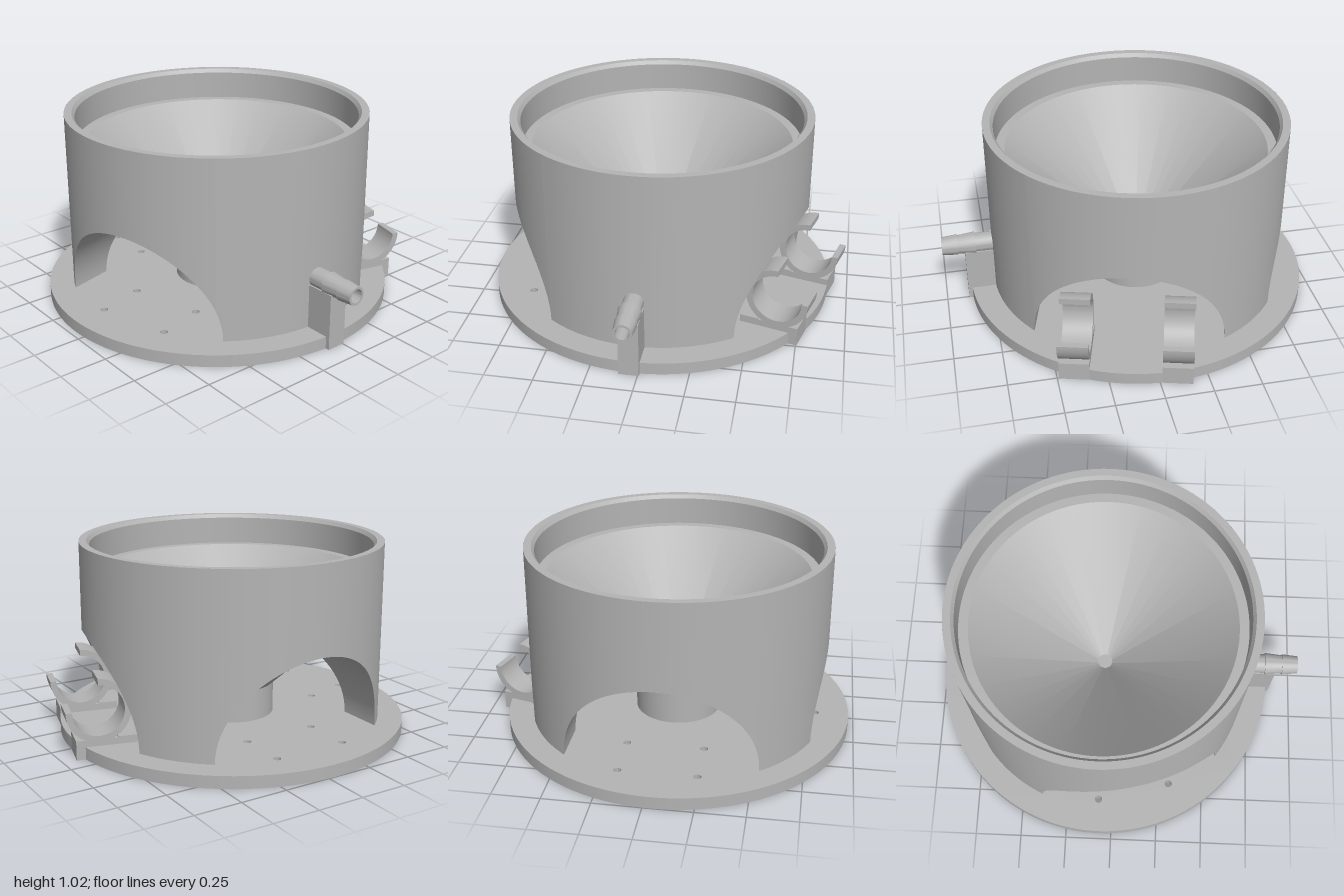
import * as THREE from 'three';
import { toCreasedNormals } from 'three/addons/utils/BufferGeometryUtils.js';

const BASE = 0.065;   // top of the base plate
const TOP = 1.02;     // rim height
const WALL = 0.8;     // outer wall radius
const ARCH = 0.495;   // radius of the tunnels cut through the body
const POST = 0.23;    // central post radius
const rad = THREE.MathUtils.degToRad;

// tunnels: heading from +z towards +x, half gaps to the previous and next tunnel
const tunnels = [
  { heading: rad(15), before: rad(52.5), after: rad(75), holes: true },
  { heading: rad(165), before: rad(75), after: rad(52.5), holes: false },
  { heading: rad(270), before: rad(52.5), after: rad(52.5), holes: true },
];

// point at distance d along a heading and s sideways
const along = (a, d, s, y) => [
  Math.sin(a) * d + Math.cos(a) * s, y, Math.cos(a) * d - Math.sin(a) * s,
];

// surface between two rows of points
function strip(lower, upper) {
  const n = lower.length, index = [];
  for (let i = 0; i < n - 1; i++) index.push(i, i + 1, n + i + 1, i, n + i + 1, n + i);
  const g = new THREE.BufferGeometry();
  g.setAttribute('position', new THREE.Float32BufferAttribute([...lower, ...upper].flat(), 3));
  g.setIndex(index);
  g.computeVertexNormals();
  return g;
}

const lathe = (pts, seg = 128) => toCreasedNormals(
  new THREE.LatheGeometry(pts.map(([x, y]) => new THREE.Vector2(x, y)), seg), 0.4);

const extrude = (shape, depth, curveSegments) => toCreasedNormals(
  new THREE.ExtrudeGeometry(shape, { depth, bevelEnabled: false, curveSegments }), 0.4);

export function createModel() {
  const grey = new THREE.MeshStandardMaterial({ color: 0xb4b4b4, side: THREE.DoubleSide });
  grey.name = 'grey plastic';

  const model = new THREE.Group();
  model.name = 'funnelStand';
  const body = new THREE.Group();
  body.name = 'body';
  body.position.set(-0.07, 0, 0.04);
  model.add(body);

  const add = (name, geometry, parent = body) => {
    const mesh = new THREE.Mesh(geometry, grey);
    mesh.name = name;
    parent.add(mesh);
    return mesh;
  };

  // base plate with four screw holes in front of two of the tunnels
  const disc = new THREE.Shape().absarc(0, 0, 0.93, 0, Math.PI * 2, false);
  for (const t of tunnels.filter((t) => t.holes))
    for (const d of [0.465, 0.725])
      for (const s of [-0.2, 0.2]) {
        const [x, , z] = along(t.heading, d, s, 0);
        disc.holes.push(new THREE.Path().absarc(x, -z, 0.02, 0, Math.PI * 2, true));
      }
  add('basePlate', extrude(disc, BASE, 64).rotateX(-Math.PI / 2));

  // outer wall whose lower edge follows the arches
  const lower = [];
  const STEPS = 48;
  for (const t of tunnels) {
    for (let i = 0; i <= STEPS; i++) {
      const phi = Math.PI * (1 - i / STEPS);
      const a = t.heading + Math.asin(ARCH * Math.cos(phi) / WALL);
      lower.push(along(a, WALL, 0, BASE + ARCH * Math.sin(phi)));
    }
    const half = Math.asin(ARCH / WALL);
    const start = t.heading + half, end = t.heading + 2 * t.after - half;
    for (let i = 1; i <= 16; i++)
      lower.push(along(start + (end - start) * i / 16, WALL, 0, BASE));
  }
  add('outerWall', strip(lower, lower.map(([x, , z]) => [x, TOP, z])));

  // tunnel ceilings, ending at the neighbouring tunnel or at the funnel underside
  tunnels.forEach((t) => {
    const inner = [], outer = [];
    for (let i = 0; i <= STEPS * 2; i++) {
      const phi = Math.PI * (1 - i / (STEPS * 2));
      const s = ARCH * Math.cos(phi), y = BASE + ARCH * Math.sin(phi);
      const cone = POST + Math.max(0, y - 0.235) / 0.91;
      const d = Math.max(
        Math.abs(s) / Math.tan(s < 0 ? t.before : t.after),
        Math.sqrt(Math.max(0, cone * cone - s * s)));
      inner.push(along(t.heading, d, s, y));
      outer.push(along(t.heading, Math.sqrt(WALL * WALL - s * s), s, y));
    }
    add('archTunnel', strip(inner, outer));
  });

  // rim, ledge and funnel bowl
  add('funnelBowl', lathe([[WALL, TOP], [0.76, TOP], [0.745, 1.0], [0.745, 0.85],
    [0.695, 0.85], [0.04, 0.25], [0, 0.25]]));
  // central post widening into the funnel underside
  add('centralPost', lathe([[POST, BASE], [POST, 0.235], [0.6, 0.572]]));

  // hose nozzle with two barbs and an open bore
  const nozzle = add('hoseNozzle', lathe([[0, 0.5], [0.036, 0.5], [0.036, 1.07], [0.048, 1.07],
    [0.056, 0.985], [0.05, 0.985], [0.06, 0.89], [0.052, 0.89], [0.052, 0.77]].reverse(), 40));
  nozzle.rotation.z = -Math.PI / 2;
  nozzle.position.set(0, 0.33, 0.005);
  const support = add('nozzleSupport', new THREE.BoxGeometry(0.2, 0.3, 0.104));
  support.position.set(0.85, 0.15, 0.005);

  // pair of open ring clips at the back tunnel
  const clips = new THREE.Group();
  clips.name = 'clips';
  clips.rotation.y = tunnels[1].heading - Math.PI / 2;
  body.add(clips);
  const ring = new THREE.Shape();
  ring.absarc(0, 0, 0.165, Math.PI / 2, Math.PI * 2, false);
  ring.absarc(0, 0, 0.132, Math.PI * 2, Math.PI / 2, true);
  const ringGeometry = extrude(ring, 0.155, 32).translate(0, 0, -0.0775);
  for (const side of [-1, 1]) {
    const clip = new THREE.Group();
    clip.name = side > 0 ? 'leftClip' : 'rightClip';
    clip.position.z = side * 0.26;
    clips.add(clip);
    add('clipRing', ringGeometry, clip).position.set(0.795, 0.25, 0);
    add('clipFoot', new THREE.BoxGeometry(0.24, 0.1, 0.155), clip).position.set(0.793, 0.05, 0);
    add('clipHeel', new THREE.BoxGeometry(0.1, 0.04, 0.155), clip).position.set(0.65, 0.085, 0);
  }
  return model;
}
